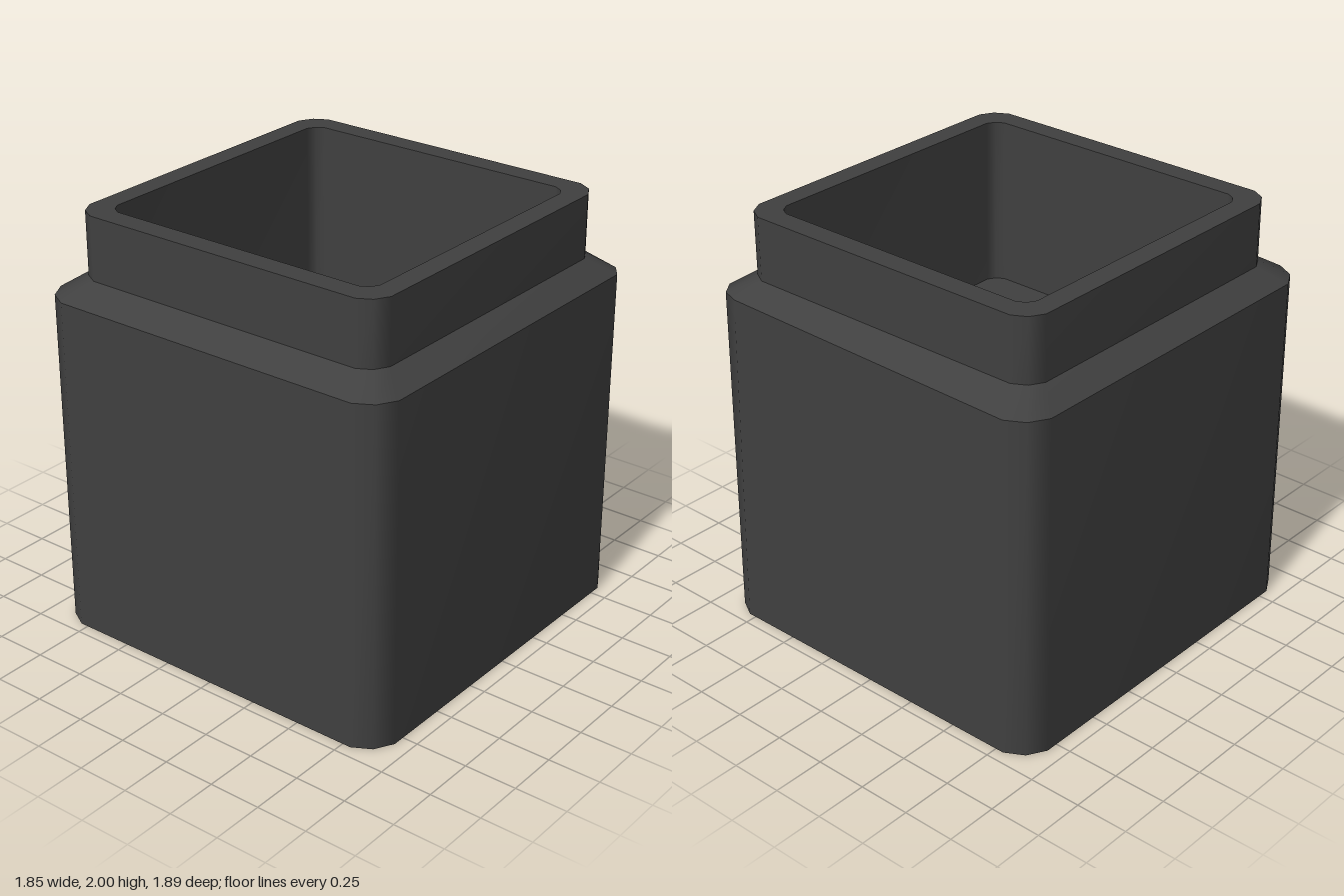
import * as THREE from 'three';

// Rounded-rectangle cross-section: half sizes, corner radius, height, z offset
function ring(hx, hz, r, y, oz = 0) {
  const pts = [];
  for (const [sx, sz, flip] of [[1, 1, 0], [-1, 1, 1], [-1, -1, 0], [1, -1, 1]]) {
    const corner = [[hx, hz - r], [hx - r * 0.36, hz - r * 0.36], [hx - r, hz]];
    if (flip) corner.reverse();
    for (const [x, z] of corner) pts.push(new THREE.Vector3(sx * x, y, sz * z + oz));
  }
  return pts;
}

// Skin between two cross-sections, smooth around the corners
function band(a, b) {
  const n = a.length, index = [];
  for (let i = 0; i < n; i++) {
    const j = (i + 1) % n;
    index.push(i, n + i, j, j, n + i, n + j);
  }
  const g = new THREE.BufferGeometry().setFromPoints([...a, ...b]);
  g.setIndex(index);
  g.computeVertexNormals();
  return g;
}

export function createModel() {
  const group = new THREE.Group();
  const charcoal = new THREE.MeshStandardMaterial({ color: 0x404040, side: THREE.DoubleSide });
  charcoal.name = 'charcoal';

  const base = ring(0.925, 0.943, 0.135, 0);
  const shoulder = ring(0.925, 0.943, 0.135, 1.62);
  // The back left shoulder corner is pushed slightly inward
  shoulder[9].z = -0.905;
  shoulder[10].z = -0.875;

  const neckBase = ring(0.812, 0.813, 0.1, 1.7, 0.004);
  const neckTop = ring(0.812, 0.813, 0.1, 2, 0.004);
  const mouth = ring(0.709, 0.707, 0.06, 2, 0.004);
  const cupBottom = ring(0.709, 0.707, 0.06, 1.19, 0.004);
  const cupCentre = ring(0, 0, 0, 1.19, 0.004);

  // Open-bottomed shell, then the neck, rim and shallow cup inside it
  const parts = [
    ['body', base, shoulder],
    ['shoulder', shoulder, neckBase],
    ['neck', neckBase, neckTop],
    ['rim', neckTop, mouth],
    ['cupWall', mouth, cupBottom],
    ['cupFloor', cupBottom, cupCentre],
  ];
  for (const [name, from, to] of parts) {
    const mesh = new THREE.Mesh(band(from, to), charcoal);
    mesh.name = name;
    group.add(mesh);
  }
  return group;
}
